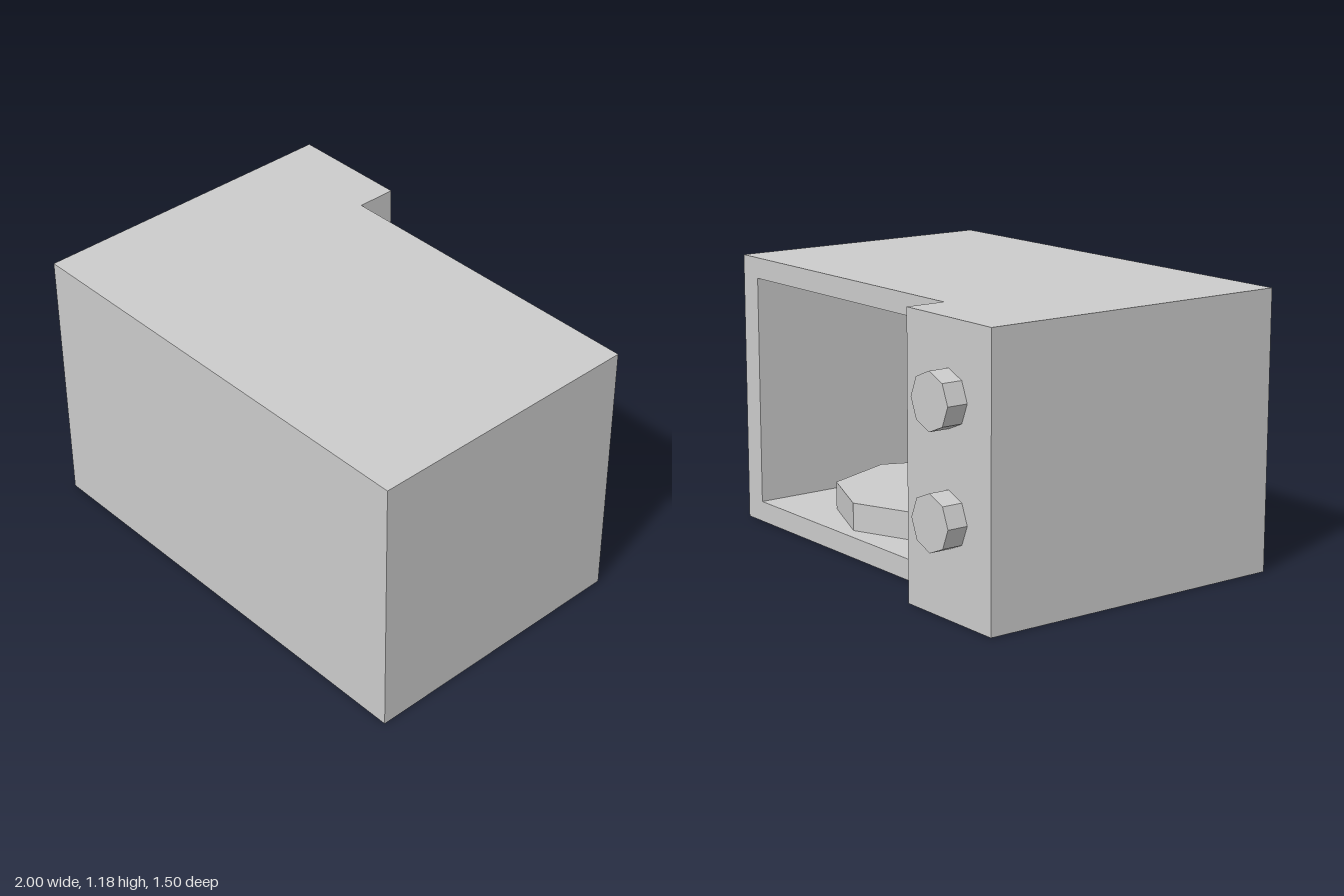
import * as THREE from 'three';
import { mergeGeometries } from 'three/addons/utils/BufferGeometryUtils.js';

const HEIGHT = 1.18, RIM_Z = -0.485, PANEL_Z = -0.66;
const FLOOR = 0.09, CEILING = 1.09;

// Plan points are [x, z].
// Vertical walls along a plan path; each wall faces the right of its direction.
function walls(path, y0, y1) {
  const pos = [];
  for (let i = 0; i + 1 < path.length; i++) {
    const [ax, az] = path[i], [bx, bz] = path[i + 1];
    pos.push(ax, y0, az, bx, y0, bz, bx, y1, bz);
    pos.push(ax, y0, az, bx, y1, bz, ax, y1, az);
  }
  const g = new THREE.BufferGeometry();
  g.setAttribute('position', new THREE.Float32BufferAttribute(pos, 3));
  g.computeVertexNormals();
  return g;
}

function flat(shape) {
  const g = new THREE.ShapeGeometry(shape).toNonIndexed();
  g.deleteAttribute('uv');
  return g;
}

// Horizontal face with the given plan outline, facing up or down.
function level(plan, y, up) {
  const pts = plan.map(([x, z]) => new THREE.Vector2(x, up ? -z : z));
  return flat(new THREE.Shape(pts)).rotateX(up ? -Math.PI / 2 : Math.PI / 2).translate(0, y, 0);
}

function rectangle(x0, y0, x1, y1) {
  return [[x0, y0], [x1, y0], [x1, y1], [x0, y1]].map(([x, y]) => new THREE.Vector2(x, y));
}

export function createModel() {
  const model = new THREE.Group();
  model.name = 'microwaveOven';
  const material = new THREE.MeshStandardMaterial({ color: 0xcccccc, flatShading: true });
  const add = (geometry, name, x = 0, y = 0, z = 0) => {
    const mesh = new THREE.Mesh(geometry, material);
    mesh.name = name;
    mesh.position.set(x, y, z);
    model.add(mesh);
  };

  // Outer housing with the raised control panel; the path leaves the rim side open
  const outline = [[-0.47, RIM_Z], [-0.47, PANEL_Z], [-1, PANEL_Z], [-1, 0.75], [1, 0.75], [1, RIM_Z]];
  // Rim around the opening, drawn with x mirrored because it faces -z
  const rim = new THREE.Shape(rectangle(-1, 0, 0.47, HEIGHT));
  rim.holes.push(new THREE.Path(rectangle(-0.89, FLOOR, 0.36, CEILING)));
  add(mergeGeometries([
    walls(outline, 0, HEIGHT),
    level(outline, HEIGHT, true),
    level(outline, 0, false),
    flat(rim).rotateY(Math.PI).translate(0, 0, RIM_Z),
  ]), 'housing');

  // Cooking cavity, its walls facing inward
  const cavity = [[0.89, RIM_Z], [0.89, 0.61], [-0.36, 0.61], [-0.36, RIM_Z]];
  add(mergeGeometries([
    walls(cavity, FLOOR, CEILING),
    level(cavity, FLOOR, true),
    level(cavity, CEILING, false),
  ]), 'cavity');

  // Octagonal turntable on the cavity floor
  add(new THREE.CylinderGeometry(0.475, 0.475, 0.12, 8), 'turntable', 0.26, FLOOR + 0.06, 0.05);

  // Octagonal control knobs
  const knob = new THREE.CylinderGeometry(0.117, 0.117, 0.09, 8).rotateX(Math.PI / 2);
  add(knob, 'upperKnob', -0.737, 0.87, PANEL_Z - 0.045);
  add(knob, 'lowerKnob', -0.737, 0.4, PANEL_Z - 0.045);

  return model;
}
